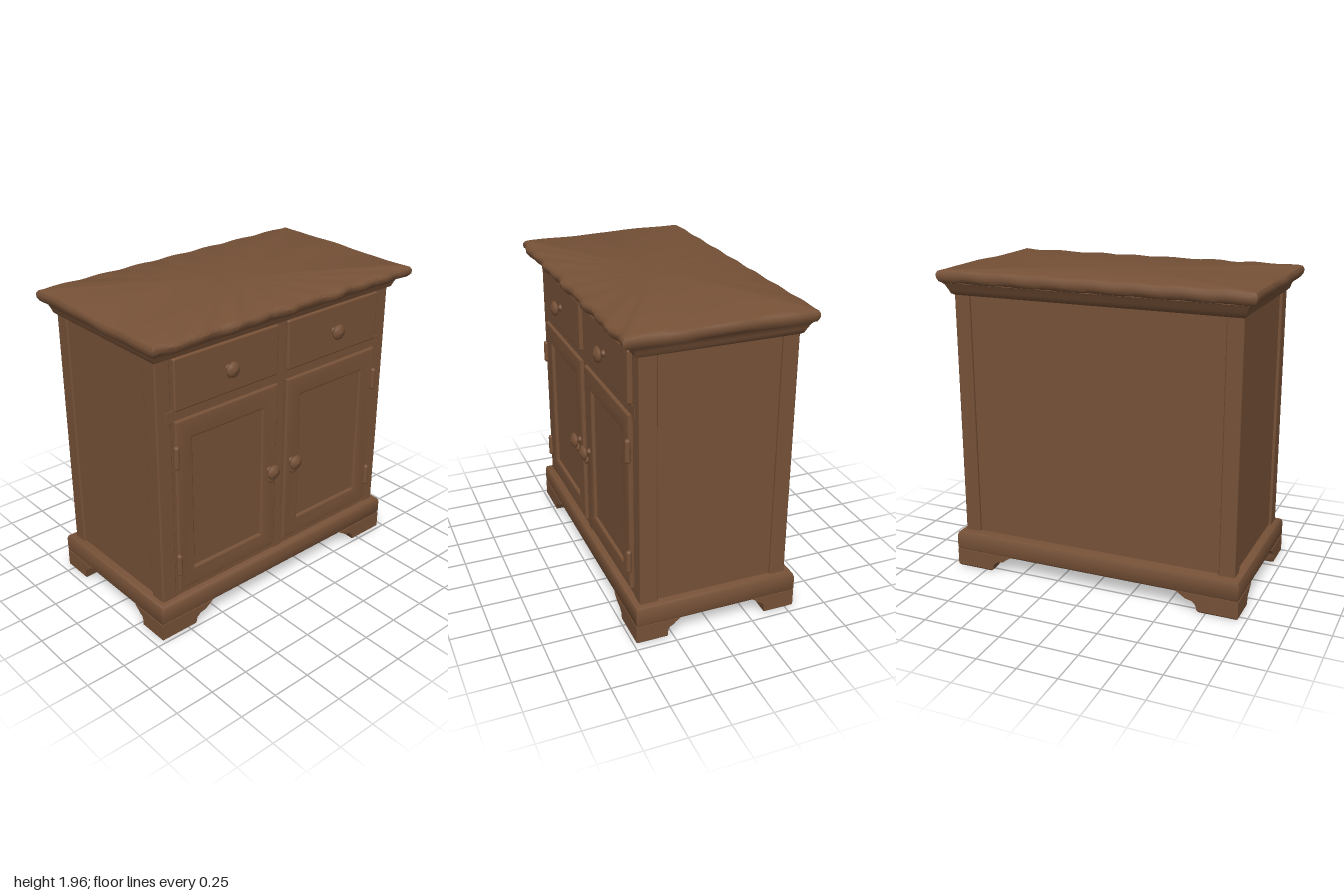
import * as THREE from 'three';
import { toCreasedNormals } from 'three/addons/utils/BufferGeometryUtils.js';
import { RoundedBoxGeometry } from 'three/addons/geometries/RoundedBoxGeometry.js';

const wood = new THREE.MeshStandardMaterial({ color: 0x765137 });
wood.name = 'brown wood';

// Joins horizontal rings (counter-clockwise from above, bottom to top) into a closed solid.
function loft(rings) {
  const n = rings[0].length, pos = rings.flat().flat(), idx = [];
  for (let i = 0; i < rings.length - 1; i++) {
    for (let j = 0; j < n; j++) {
      const a = i * n + j, b = i * n + (j + 1) % n;
      idx.push(a, b, b + n, a, b + n, a + n);
    }
  }
  [rings[0], rings[rings.length - 1]].forEach((ring, k) => {
    const centre = pos.length / 3, start = k * (rings.length - 1) * n;
    for (let c = 0; c < 3; c++) pos.push(ring.reduce((s, p) => s + p[c], 0) / n);
    for (let j = 0; j < n; j++) {
      const a = start + j, b = start + (j + 1) % n;
      idx.push(centre, k ? a : b, k ? b : a);
    }
  });
  const g = new THREE.BufferGeometry();
  g.setAttribute('position', new THREE.Float32BufferAttribute(pos, 3));
  g.setIndex(idx);
  return toCreasedNormals(g, 0.7);
}

// Rectangle outline, finely sampled, with an optional rule to move each point.
function rectRing(x0, x1, hz, y, steps = 1, move = (p) => p) {
  const corners = [[x1, hz], [x1, -hz], [x0, -hz], [x0, hz]], ring = [];
  corners.forEach((c, i) => {
    const d = corners[(i + 1) % 4];
    for (let s = 0; s < steps; s++) {
      const t = s / steps;
      ring.push(move([c[0] + (d[0] - c[0]) * t, y, c[1] + (d[1] - c[1]) * t]));
    }
  });
  return ring;
}

export function createModel() {
  const cabinet = new THREE.Group();
  cabinet.name = 'cabinet';

  const add = (name, geometry, x = 0, y = 0, z = 0, parent = cabinet) => {
    const mesh = new THREE.Mesh(geometry, wood);
    mesh.name = name;
    mesh.position.set(x, y, z);
    parent.add(mesh);
    return mesh;
  };
  // Box given by its limits, with softened edges
  const block = (name, x0, x1, y0, y1, z0, z1, r = 0.01) =>
    add(name, new RoundedBoxGeometry(x1 - x0, y1 - y0, z1 - z0, 2, r),
      (x0 + x1) / 2, (y0 + y1) / 2, (z0 + z1) / 2);

  // Carcass with recessed side and back panels between corner posts
  add('carcass', new THREE.BoxGeometry(0.92, 1.68, 1.79), -0.02, 0.99, 0);
  for (const s of [-1, 1]) {
    const [z0, z1] = s > 0 ? [0.81, 0.912] : [-0.912, -0.81];
    block('frontPost', 0.335, 0.445, 0.2, 1.83, z0, z1);
    block('backPost', -0.5, -0.4, 0.2, 1.83, z0, z1);
  }
  block('centreStile', 0.42, 0.447, 0.2, 1.83, -0.035, 0.035, 0.005);
  block('drawerRail', 0.42, 0.447, 1.41, 1.49, -0.85, 0.85, 0.005);

  // Plinth band
  add('plinth', loft([
    rectRing(-0.54, 0.475, 0.945, 0.115), rectRing(-0.55, 0.485, 0.953, 0.13),
    rectRing(-0.55, 0.485, 0.953, 0.215), rectRing(-0.542, 0.477, 0.945, 0.237),
    rectRing(-0.52, 0.46, 0.925, 0.247),
  ]));

  // Bracket feet: square outer corner, stepped round inner side
  const footLevels = [
    [0, 0.19, 0.24], [0.012, 0.2, 0.255], [0.05, 0.2, 0.265], [0.072, 0.21, 0.29],
    [0.08, 0.23, 0.33], [0.1, 0.25, 0.36], [0.12, 0.28, 0.39],
  ];
  for (const sx of [-1, 1]) for (const sz of [-1, 1]) {
    const cx = sx > 0 ? 0.485 : -0.55, cz = sz * 0.953;
    const rings = footLevels.map(([y, a, b], i) => {
      const inset = i === 0 ? 0.012 : 0;
      const ring = [[cx - sx * inset, y, cz - sz * inset]];
      for (let k = 0; k <= 12; k++) {
        const t = (k / 12) * Math.PI / 2;
        const u = Math.max(inset, a * Math.pow(Math.max(0, Math.cos(t)), 0.6));
        const v = Math.max(inset, b * Math.pow(Math.sin(t), 0.6));
        ring.push([cx - sx * u, y, cz - sz * v]);
      }
      return sx * sz > 0 ? ring.reverse() : ring;
    });
    add('foot', loft(rings));
  }

  // Cornice and worn top with an uneven front edge, dipping slightly forward
  const worn = ([x, y, z]) => {
    const front = Math.max(0, x) / 0.55;
    const wave = 0.007 * Math.sin(z * 17 + 1) + 0.006 * Math.sin(z * 31);
    return [x + front * wave, y - 0.01 * (x + 0.1) + 0.003 * Math.sin(z * 23 + x * 9), z + 0.003 * Math.sin(x * 19)];
  };
  const cornice = [
    [-0.5, 0.445, 0.912, 1.795], [-0.515, 0.465, 0.925, 1.805], [-0.53, 0.475, 0.932, 1.83],
    [-0.545, 0.488, 0.945, 1.86], [-0.553, 0.51, 0.96, 1.873],
  ];
  add('cornice', loft(cornice.map(([a, b, hz, y]) => rectRing(a, b, hz, y))));
  const topLevels = [
    [-0.545, 0.5, 0.95, 1.868], [-0.562, 0.535, 0.98, 1.878], [-0.57, 0.555, 0.993, 1.9],
    [-0.57, 0.557, 0.995, 1.925], [-0.56, 0.545, 0.985, 1.942], [-0.54, 0.52, 0.96, 1.95],
  ];
  add('top', loft(topLevels.map(([a, b, hz, y]) => rectRing(a, b, hz, y, 48, worn))));

  // Shared geometry of the front fittings
  const knobProfile = [[0.028, 0], [0.018, 0.012], [0.018, 0.026], [0.042, 0.034],
    [0.049, 0.044], [0.043, 0.055], [0.025, 0.064], [0, 0.071]].map(([r, y]) => new THREE.Vector2(r, y));
  const knobGeometry = new THREE.LatheGeometry(knobProfile, 24).rotateZ(-Math.PI / 2);
  const hingeGeometry = new THREE.CapsuleGeometry(0.018, 0.115, 4, 12);

  // Door frame: outline with opening, soft bevels, turned to face +x
  const rect = (path, x0, x1, y0, y1) =>
    path.moveTo(x0, y0).lineTo(x1, y0).lineTo(x1, y1).lineTo(x0, y1).closePath();
  const outline = rect(new THREE.Shape(), -0.37, 0.37, 0.31, 1.41);
  outline.holes.push(rect(new THREE.Path(), -0.275, 0.275, 0.405, 1.305));
  const doorGeometry = toCreasedNormals(new THREE.ExtrudeGeometry(outline, {
    depth: 0.026, bevelThickness: 0.01, bevelSize: 0.012, bevelSegments: 3,
  }).rotateY(Math.PI / 2), 0.6);

  for (const s of [-1, 1]) {
    const z = s * 0.42;
    // Drawer
    block('drawer', 0.41, 0.468, 1.482, 1.798, z - 0.382, z + 0.382, 0.012);
    add('drawerKnob', knobGeometry, 0.462, 1.64, z);
    // Door with recessed panel
    add('doorFrame', doorGeometry, 0.432, 0, z);
    add('doorPanel', new THREE.BoxGeometry(0.02, 0.95, 0.6), 0.437, 0.855, z);
    add('doorKnob', knobGeometry, 0.462, 0.86, s * 0.093);
    const drop = add('knobDrop', new THREE.SphereGeometry(0.03, 16, 10), 0.49, 0.81, s * 0.093);
    drop.scale.set(0.5, 1, 1);
    // Hinges
    for (const y of [0.485, 1.205]) add('hinge', hingeGeometry, 0.472, y, s * 0.802);
  }
  return cabinet;
}
